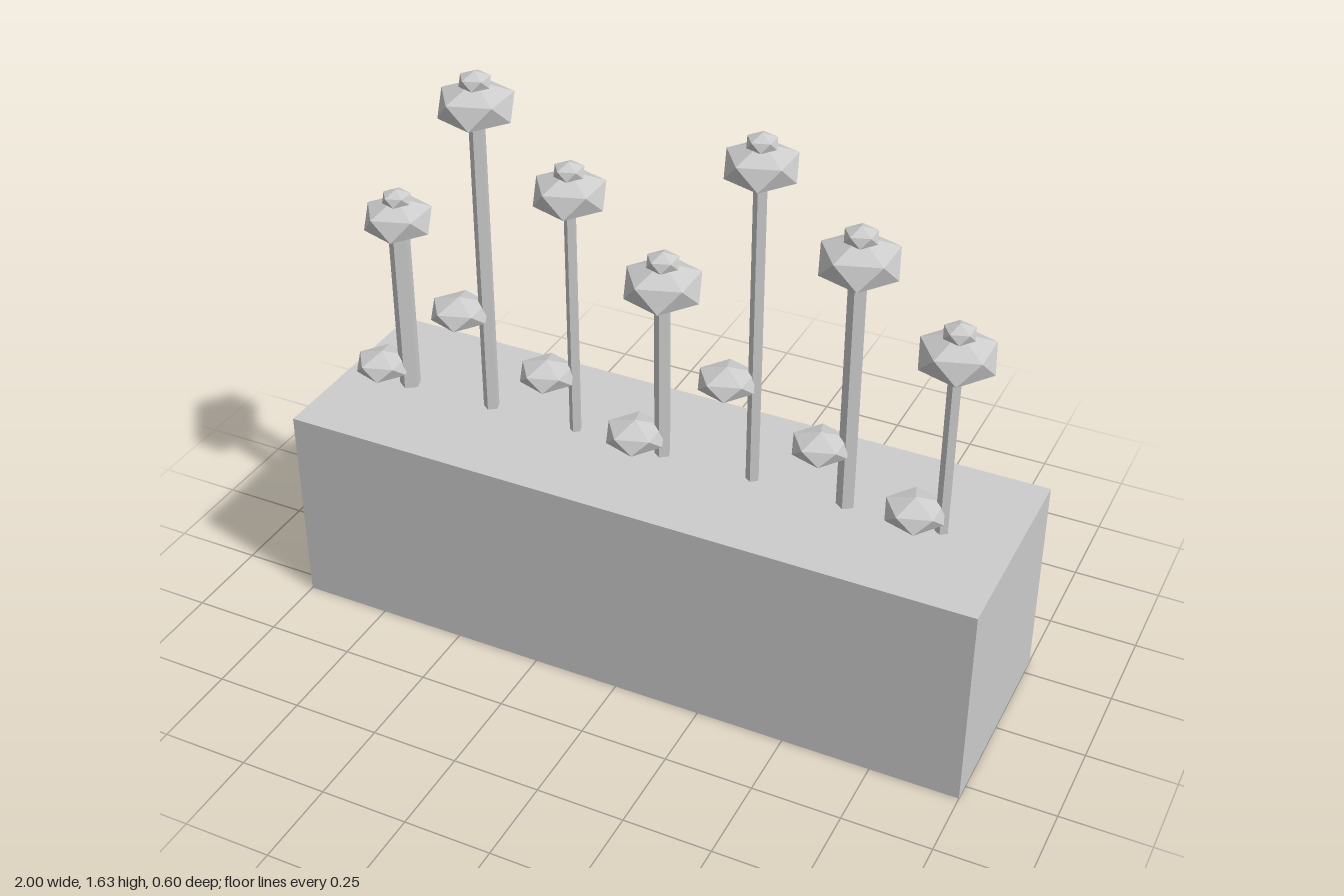
import * as THREE from 'three';

const grey = new THREE.MeshStandardMaterial({ color: 0xcccccc });
grey.name = 'plain grey';
grey.flatShading = true;

// Squashed icosahedron standing on a vertex, with an upper ring corner towards -x
function facetedBlob(radius, squash) {
  const g = new THREE.IcosahedronGeometry(radius, 0);
  g.rotateZ(-Math.atan(2 / (1 + Math.sqrt(5))));
  g.rotateY(Math.PI);
  g.scale(1, squash, 1);
  g.computeVertexNormals();
  return g;
}

function addPart(parent, name, geometry, x, y, z) {
  const mesh = new THREE.Mesh(geometry, grey);
  mesh.name = name;
  mesh.position.set(x, y, z);
  parent.add(mesh);
  return mesh;
}

// Head height, head radius, stem radius, leaf height, leaf radius
const flowers = [
  [1.135, 0.105, 0.031, 0.668, 0.084],
  [1.53, 0.113, 0.023, 0.912, 0.089],
  [1.335, 0.108, 0.017, 0.785, 0.084],
  [1.13, 0.116, 0.023, 0.665, 0.09],
  [1.535, 0.105, 0.019, 0.912, 0.086],
  [1.335, 0.116, 0.026, 0.788, 0.084],
  [1.135, 0.111, 0.019, 0.665, 0.089],
];

export function createModel() {
  const model = new THREE.Group();
  model.name = 'flowerPlanter';

  // Planter box
  const boxTop = 0.6;
  addPart(model, 'planterBox', new THREE.BoxGeometry(2, boxTop, 0.6), 0, boxTop / 2, 0);

  // Row of flowers
  flowers.forEach(([headY, headR, stemR, leafY, leafR], i) => {
    const flower = new THREE.Group();
    flower.name = 'flower' + (i + 1);
    flower.position.x = (i - 3) * 0.267;
    model.add(flower);

    const stemHeight = headY - 0.03 - boxTop;
    const stem = new THREE.CylinderGeometry(stemR, stemR, stemHeight, 5);
    addPart(flower, 'stem', stem, 0, boxTop + stemHeight / 2, 0);
    addPart(flower, 'flowerHead', facetedBlob(headR, 0.6), 0, headY, 0);
    addPart(flower, 'flowerCentre', facetedBlob(headR * 0.42, 0.6), 0, headY + headR * 0.59, 0);
    addPart(flower, 'leaf', facetedBlob(leafR, 0.5), -0.066, leafY, 0.034);
  });

  return model;
}
